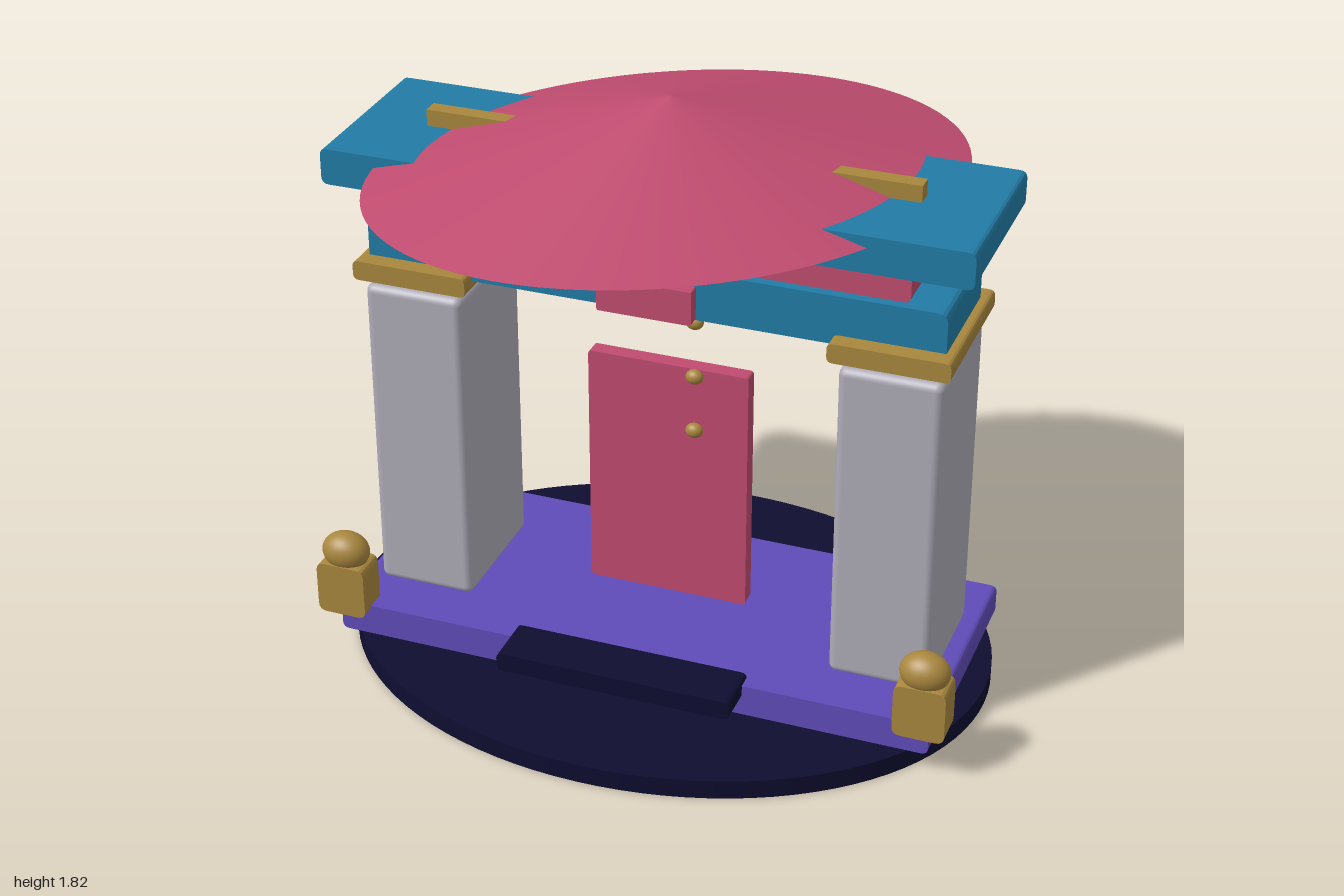
import * as THREE from 'three';
import { RoundedBoxGeometry } from 'three/addons/geometries/RoundedBoxGeometry.js';

const material = (name, color) => {
  const m = new THREE.MeshStandardMaterial({ color });
  m.name = name;
  return m;
};

// Block with rounded front outline, extruded along z; centred on x, z and standing on y = 0
function slab(w, h, d, r) {
  const x = w / 2, s = new THREE.Shape();
  s.moveTo(-x + r, 0);
  s.lineTo(x - r, 0);
  s.quadraticCurveTo(x, 0, x, r);
  s.lineTo(x, h - r);
  s.quadraticCurveTo(x, h, x - r, h);
  s.lineTo(-x + r, h);
  s.quadraticCurveTo(-x, h, -x, h - r);
  s.lineTo(-x, r);
  s.quadraticCurveTo(-x, 0, -x + r, 0);
  const g = new THREE.ExtrudeGeometry(s, { depth: d, bevelEnabled: false, curveSegments: 4 });
  return g.translate(0, 0, -d / 2);
}

export function createModel() {
  const group = new THREE.Group();
  const red = material('rose red', 0xc04c70);
  const blue = material('teal blue', 0x227ca6);
  const purple = material('violet', 0x604cb8);
  const grey = material('stone grey', 0xaeabb7);
  const gold = material('old gold', 0xa9873e);
  const navy = material('night navy', 0x0e0d30);

  const add = (name, geometry, mat, x = 0, y = 0, z = 0) => {
    const mesh = new THREE.Mesh(geometry, mat);
    mesh.name = name;
    mesh.position.set(x, y, z);
    group.add(mesh);
    return mesh;
  };

  // Ground disc, plinth and step
  add('groundDisc', new THREE.CylinderGeometry(1, 1, 0.06, 96).scale(1, 1, 0.78), navy, 0, 0.03);
  add('plinth', slab(1.86, 0.1, 0.77, 0.02), purple, 0, 0.06);
  add('step', slab(0.73, 0.06, 0.16, 0.018), navy, 0, 0.115, 0.42);

  // Door with a column of studs
  add('door', slab(0.5, 0.785, 0.05, 0.012), red, 0, 0.19);
  for (const y of [0.78, 0.96, 1.14])
    add('stud', new THREE.SphereGeometry(0.027, 20, 14).scale(1, 0.85, 0.8), gold, 0.09, y, 0.042);

  // Pillars, caps and guardian posts on both sides
  for (const side of [-1, 1]) {
    add('pillar', new RoundedBoxGeometry(0.305, 1.02, 0.43, 3, 0.025), grey, side * 0.724, 0.66);
    add('pillarCap', slab(0.355, 0.06, 0.47, 0.018), gold, side * 0.722, 1.195);
    add('guardianBody', slab(0.155, 0.17, 0.105, 0.026), gold, side * 0.908, 0.138, 0.375);
    add('guardianHead', new THREE.SphereGeometry(0.075, 28, 20).scale(1, 0.8, 0.78), gold,
      side * 0.908, 0.34, 0.375);
  }

  // Stacked beams and front plaque
  add('lintel', slab(1.74, 0.15, 0.36, 0.03), blue, 0, 1.225);
  add('plaque', slab(0.285, 0.105, 0.04, 0.006), red, 0, 1.225, 0.2);
  add('middleBeam', slab(1.51, 0.085, 0.3, 0.02), red, 0, 1.375);
  add('upperBeam', slab(1.92, 0.11, 0.55, 0.022), blue, 0, 1.51);
  add('ridgeBar', new THREE.BoxGeometry(1.48, 0.05, 0.05), gold, 0, 1.645);

  // Oval cone roof with its long axis on the diagonal
  const roof = new THREE.ConeGeometry(0.89, 0.23, 96).scale(1, 1, 0.78).rotateY(Math.PI / 4);
  add('roof', roof, red, 0, 1.7);

  return group;
}
